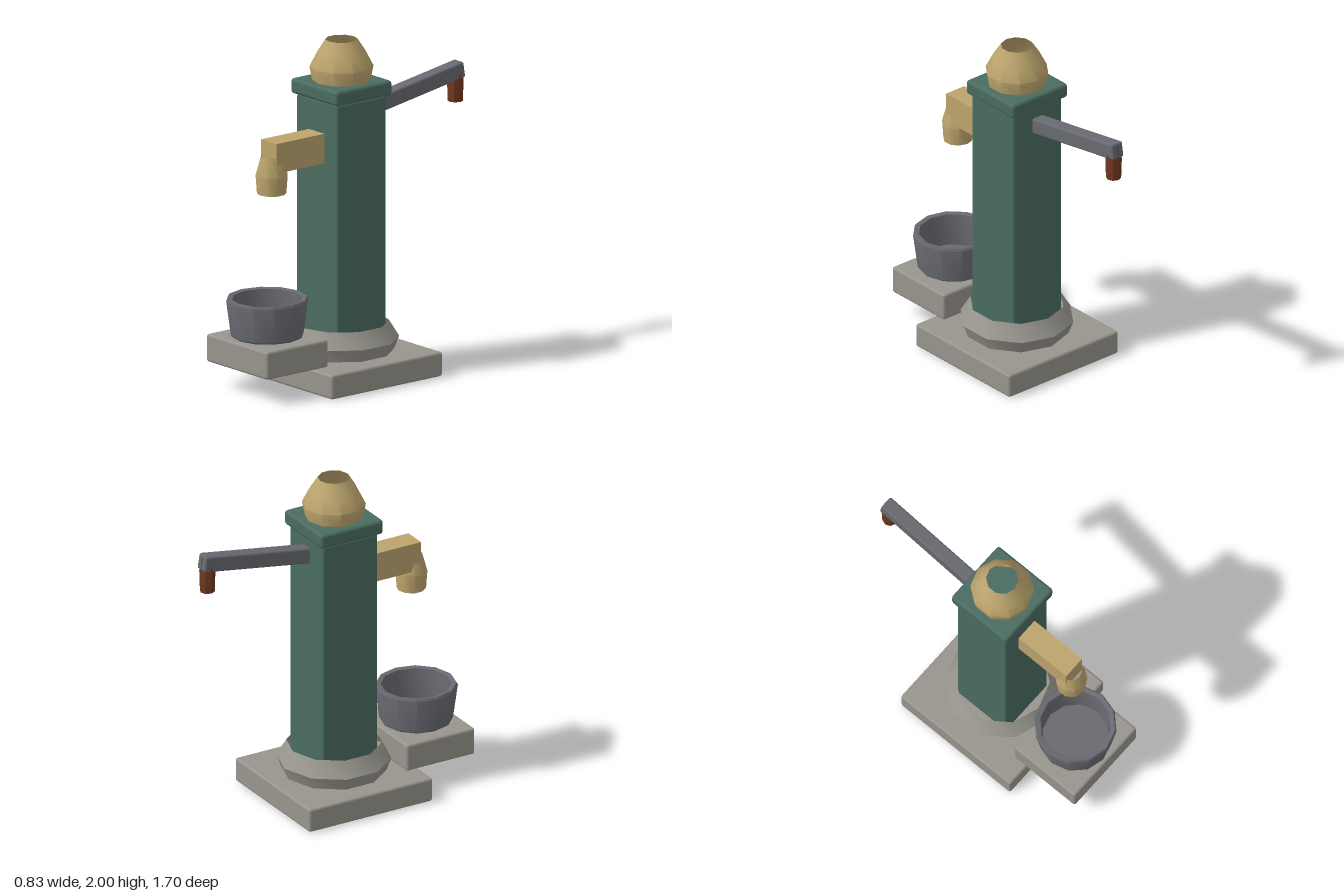
import * as THREE from 'three';
import { toCreasedNormals } from 'three/addons/utils/BufferGeometryUtils.js';
import { RoundedBoxGeometry } from 'three/addons/geometries/RoundedBoxGeometry.js';

function material(name, color, side = THREE.FrontSide) {
  const m = new THREE.MeshStandardMaterial({ color, side });
  m.name = name;
  return m;
}

export function createModel() {
  const model = new THREE.Group();
  model.name = 'waterPump';

  const stone = material('stone', 0x97958d, THREE.DoubleSide);
  const green = material('greenPaint', 0x4a6c61);
  const brass = material('brass', 0xbca46d, THREE.DoubleSide);
  const iron = material('iron', 0x696a71);
  const wood = material('redWood', 0x703820, THREE.DoubleSide);

  const AXIS = 0.055; // z of the pump column

  function add(name, geometry, mat, x, y, z) {
    const mesh = new THREE.Mesh(geometry, mat);
    mesh.name = name;
    mesh.position.set(x, y, z);
    model.add(mesh);
    return mesh;
  }

  // box with softened edges, placed by its bottom
  function block(name, mat, w, h, d, y, z, radius = 0.015) {
    return add(name, new RoundedBoxGeometry(w, h, d, 2, radius), mat, 0, y + h / 2, z);
  }

  // turned part: profile of [radius, height], smooth around, sharp along rims
  function turned(name, mat, profile, sides, z) {
    const points = profile.map(([r, y]) => new THREE.Vector2(r, y));
    const geometry = toCreasedNormals(new THREE.LatheGeometry(points, sides), 0.64);
    return add(name, geometry, mat, 0, 0, z);
  }

  // stone footing
  block('baseSlab', stone, 0.83, 0.145, 0.83, 0.003, AXIS);
  block('bucketSlab', stone, 0.55, 0.165, 0.46, 0.155, 0.61);
  turned('collar', stone, [[0.305, 0.15], [0.333, 0.225], [0.275, 0.32]], 10, AXIS);

  // column
  block('column', green, 0.37, 1.52, 0.37, 0.15, AXIS);
  block('cap', green, 0.42, 0.09, 0.42, 1.67, AXIS, 0.02);
  turned('dome', brass,
    [[0.17, 1.76], [0.185, 1.84], [0.139, 1.93], [0.094, 2]], 10, AXIS);

  // spout with open nozzle
  add('spout', new THREE.BoxGeometry(0.14, 0.177, 0.4), brass, 0, 1.392, 0.4);
  turned('nozzle', brass, [[0.085, 1.17], [0.093, 1.28], [0.063, 1.39]], 10, 0.577);

  // bucket with thick wall
  turned('bucket', iron, [
    [0, 0.318], [0.2, 0.325], [0.212, 0.335], [0.24, 0.542], [0.232, 0.556],
    [0.205, 0.55], [0.192, 0.36], [0, 0.36],
  ], 12, 0.61);

  // pump handle, rising toward the back
  const handle = add('handle', new RoundedBoxGeometry(0.084, 0.096, 0.76, 2, 0.012),
    iron, 0, 1.612, -0.46);
  handle.rotation.x = 0.162;
  turned('handleGrip', wood,
    [[0.044, 1.485], [0.048, 1.61], [0.036, 1.7]], 8, -0.797);

  return model;
}
